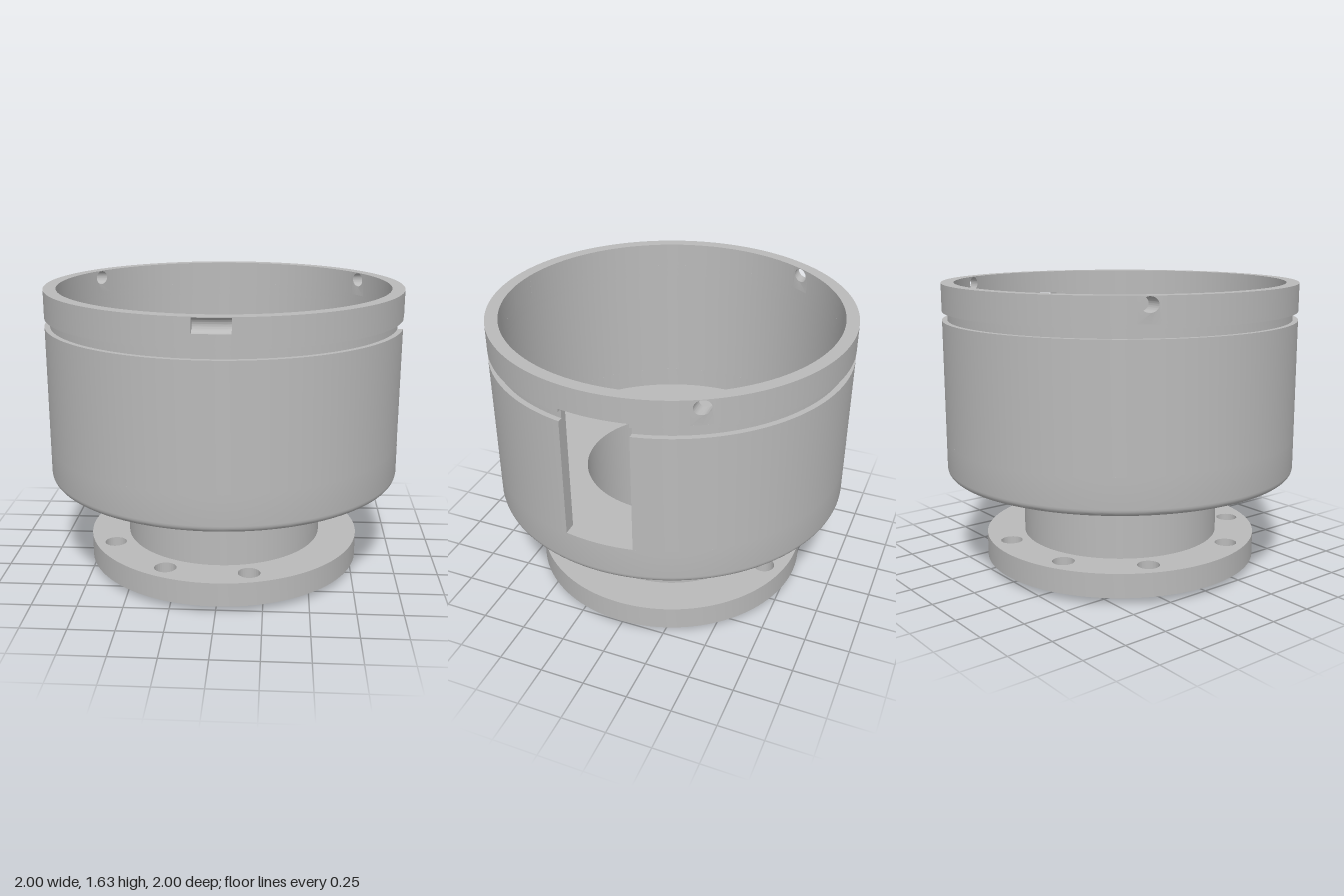
import * as THREE from 'three';
import { toCreasedNormals } from 'three/addons/utils/BufferGeometryUtils.js';

const R_IN = 0.93, R_OUT = 1, RIM_Y = 1.495, TOP_Y = 1.63;

export function createModel() {
  const model = new THREE.Group();
  const grey = new THREE.MeshStandardMaterial({ color: 0xbababa });
  grey.name = 'plainGrey';

  function add(name, geometry) {
    const mesh = new THREE.Mesh(toCreasedNormals(geometry, 0.5), grey);
    mesh.name = name;
    model.add(mesh);
  }

  // Extrudes a plan shape (plan y = -z) upwards from y0 to y1
  function slab(shape, y0, y1) {
    const g = new THREE.ExtrudeGeometry(shape, { depth: y1 - y0, bevelEnabled: false, curveSegments: 96 });
    return g.rotateX(-Math.PI / 2).translate(0, y0, 0);
  }

  // Ring sector; start and end give the angle at a radius, so its ends can be straight cuts
  function sector(rOut, y0, y1, start, end) {
    const s = new THREE.Shape();
    s.absarc(0, 0, rOut, start(rOut), end(rOut), false);
    s.absarc(0, 0, R_IN, end(R_IN), start(R_IN), true);
    s.closePath();
    return slab(s, y0, y1);
  }

  // Applies a rule to every vertex
  function bend(g, rule) {
    const p = g.attributes.position, v = new THREE.Vector3();
    for (let i = 0; i < p.count; i++) {
      rule(v.fromBufferAttribute(p, i));
      p.setXYZ(i, v.x, v.y, v.z);
    }
    return g;
  }

  // Neck, cup floor and lower wall with a rounded bottom edge
  const profile = [[0.5, 0], [0.565, 0], [0.565, 0.55]];
  for (let i = 0; i <= 6; i++) {
    const a = (i / 6 - 1) * Math.PI / 2;
    profile.push([0.96 + 0.04 * Math.cos(a), 0.59 + 0.04 * Math.sin(a)]);
  }
  profile.push([1, 0.755], [R_IN, 0.755], [R_IN, 0.635], [0.5, 0.635], [0.5, 0]);
  add('neckAndCupBase', new THREE.LatheGeometry(profile.map(([x, y]) => new THREE.Vector2(x, y)), 128));

  // Flange with its six bolt holes
  const flange = new THREE.Shape().absarc(0, 0, 0.785, 0, Math.PI * 2, false);
  flange.holes.push(new THREE.Path().absarc(0, 0, 0.56, 0, Math.PI * 2, true));
  for (const deg of [15, 165, 205, 245, 295, 335]) {
    const a = THREE.MathUtils.degToRad(deg);
    flange.holes.push(new THREE.Path().absarc(0.672 * Math.sin(a), -0.672 * Math.cos(a), 0.061, 0, Math.PI * 2, true));
  }
  add('flange', slab(flange, 0.04, 0.175));

  // Wall bands, open at the side window
  const winStart = r => Math.asin(0.185 / r);
  const winEnd = r => Math.PI * 2 - Math.asin(0.185 / r);
  add('wall', sector(R_OUT, 0.755, 1.425, winStart, winEnd));
  add('groove', sector(0.97, 1.425, 1.475, winStart, winEnd));
  add('wallAboveGroove', sector(R_OUT, 1.475, RIM_Y, winStart, winEnd));

  // Rim pieces between the two drilled blocks and the front pocket
  const at = z => r => Math.asin(z / r);
  const rimParts = [
    ['rimBack', at(0.55), r => Math.PI - at(0.55)(r)],
    ['rimRight', r => Math.PI - at(0.45)(r), r => Math.PI * 1.5 - at(0.095)(r)],
    ['rimLeft', r => Math.PI * 1.5 + at(0.095)(r), r => Math.PI * 2 + at(0.45)(r)],
  ];
  for (const [name, start, end] of rimParts) add(name, sector(R_OUT, RIM_Y, TOP_Y, start, end));

  // Rim blocks with a cross-drilled round hole, curved to the rim
  for (const side of [1, -1]) {
    const c = side * 0.5;
    const s = new THREE.Shape();
    s.moveTo(c - 0.05, RIM_Y).lineTo(c, RIM_Y).lineTo(c + 0.05, RIM_Y);
    s.lineTo(c + 0.05, TOP_Y).lineTo(c, TOP_Y).lineTo(c - 0.05, TOP_Y).closePath();
    s.holes.push(new THREE.Path().absarc(c, 1.588, 0.039, 0, Math.PI * 2, true));
    const g = new THREE.ExtrudeGeometry(s, { depth: 1, bevelEnabled: false, curveSegments: 24 });
    bend(g, v => { v.z = Math.sqrt((R_IN + (R_OUT - R_IN) * v.z) ** 2 - v.x * v.x); });
    add(side > 0 ? 'drilledRimLeft' : 'drilledRimRight', g.rotateY(side * Math.PI / 2));
  }

  // Front rim piece with a half-round pocket
  const pocket = new THREE.Shape();
  pocket.moveTo(R_IN, RIM_Y).lineTo(R_OUT, RIM_Y).lineTo(R_OUT, 1.55);
  pocket.absarc(R_OUT, 1.588, 0.038, -Math.PI / 2, Math.PI / 2, true);
  pocket.lineTo(R_OUT, TOP_Y).lineTo(R_IN, TOP_Y).closePath();
  const front = new THREE.ExtrudeGeometry(pocket, { depth: 0.19, steps: 6, bevelEnabled: false, curveSegments: 16 });
  front.rotateY(-Math.PI / 2).translate(0.095, 0, 0);
  add('frontPocket', bend(front, v => { v.z -= 1 - Math.sqrt(1 - v.x * v.x); }));

  return model;
}
